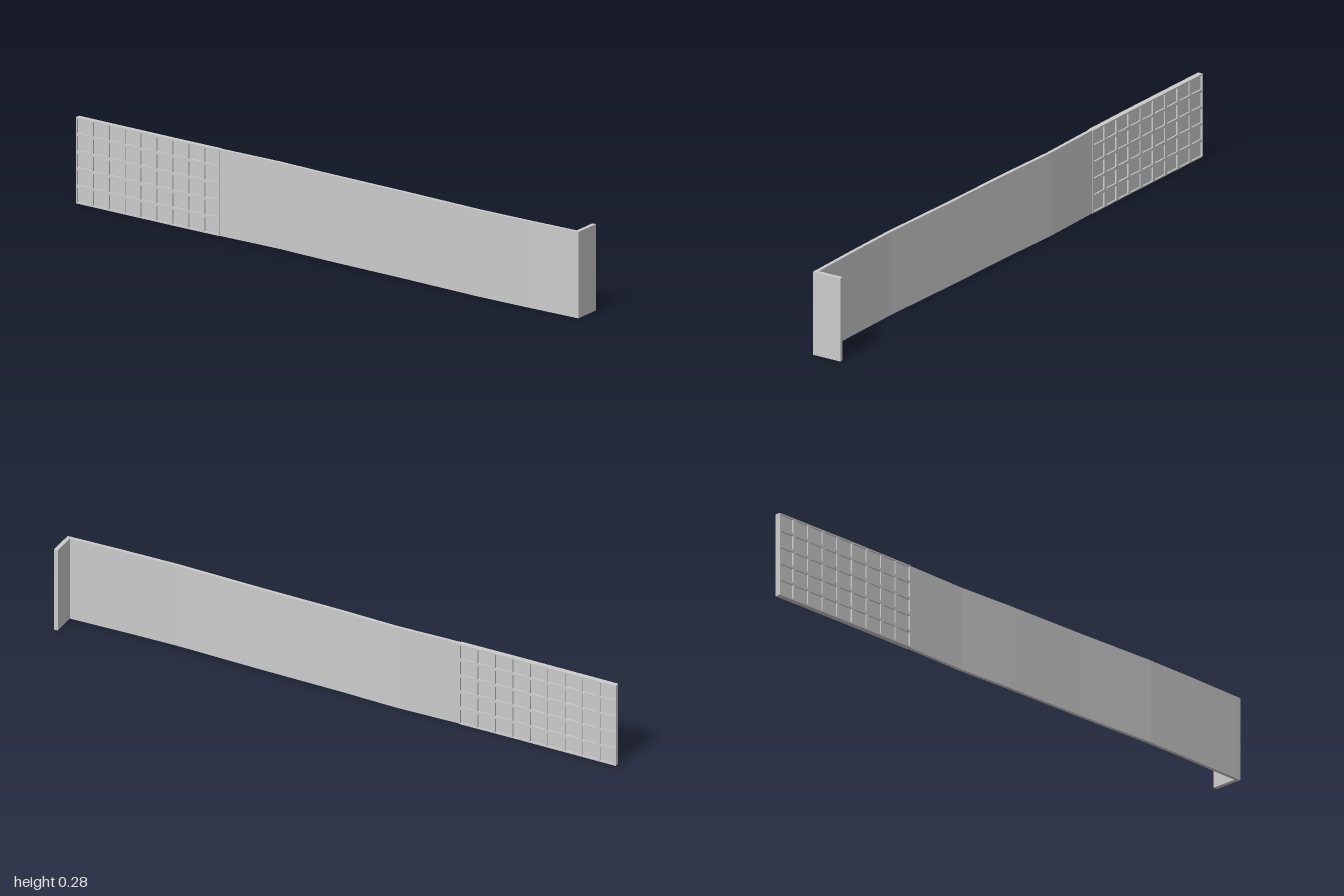
import * as THREE from 'three';

const HEIGHT = 0.285;
const GRID_END = -0.43;
const COLUMNS = 9, ROWS = 5, RIB = 0.01;

// Gently waving centre line of the strip, as [x, z]
const PATH = [
  [-1, -0.081], [-0.62, -0.049], [GRID_END, -0.035], [-0.2, -0.022], [0, 0.001],
  [0.3, 0.029], [0.6, 0.061], [0.8, 0.074], [1, 0.084],
];

function centreZ(x) {
  let i = 0;
  while (i < PATH.length - 2 && x > PATH[i + 1][0]) i++;
  const [x0, z0] = PATH[i], [x1, z1] = PATH[i + 1];
  return z0 + (z1 - z0) * (x - x0) / (x1 - x0);
}

const material = new THREE.MeshStandardMaterial({ color: 0xcccccc });

// Slab following the centre line from x0 to x1, between two z offsets, extruded upward
function slab(name, x0, x1, back, front, y = 0, height = HEIGHT) {
  const xs = [x0, ...PATH.map(p => p[0]).filter(x => x > x0 + 1e-4 && x < x1 - 1e-4), x1];
  const points = [
    ...xs.map(x => new THREE.Vector2(x, -centreZ(x) - front)),
    ...xs.reverse().map(x => new THREE.Vector2(x, -centreZ(x) - back)),
  ];
  const geometry = new THREE.ExtrudeGeometry(new THREE.Shape(points), { depth: height, bevelEnabled: false });
  geometry.rotateX(-Math.PI / 2).translate(0, y, 0);
  const mesh = new THREE.Mesh(geometry, material);
  mesh.name = name;
  return mesh;
}

export function createModel() {
  const group = new THREE.Group();
  group.name = 'hookedStrip';

  // Smooth blade and the thin web inside the grid
  group.add(slab('blade', GRID_END, 1, -0.006, 0.006));
  group.add(slab('gridWeb', -1, GRID_END, -0.004, 0.004));

  // Waffle grid standing proud on both faces; outer ribs are half as wide
  const grid = new THREE.Group();
  grid.name = 'gripGrid';
  const pitchX = (GRID_END + 1) / COLUMNS;
  for (let i = 0; i <= COLUMNS; i++) {
    const x = -1 + i * pitchX;
    grid.add(slab('uprightRib', Math.max(-1, x - RIB / 2), Math.min(GRID_END, x + RIB / 2), -0.009, 0.009));
  }
  for (let j = 0; j <= ROWS; j++) {
    const y = j * HEIGHT / ROWS;
    const low = Math.max(0, y - RIB / 2), high = Math.min(HEIGHT, y + RIB / 2);
    grid.add(slab('lengthwiseRib', -1, GRID_END, -0.009, 0.009, low, high - low));
  }
  group.add(grid);

  // Lip turned back at the left end
  const lip = new THREE.Mesh(new THREE.BoxGeometry(0.014, HEIGHT, 0.102), material);
  lip.name = 'endLip';
  lip.position.set(0.993, HEIGHT / 2, 0.039);
  group.add(lip);

  return group;
}
